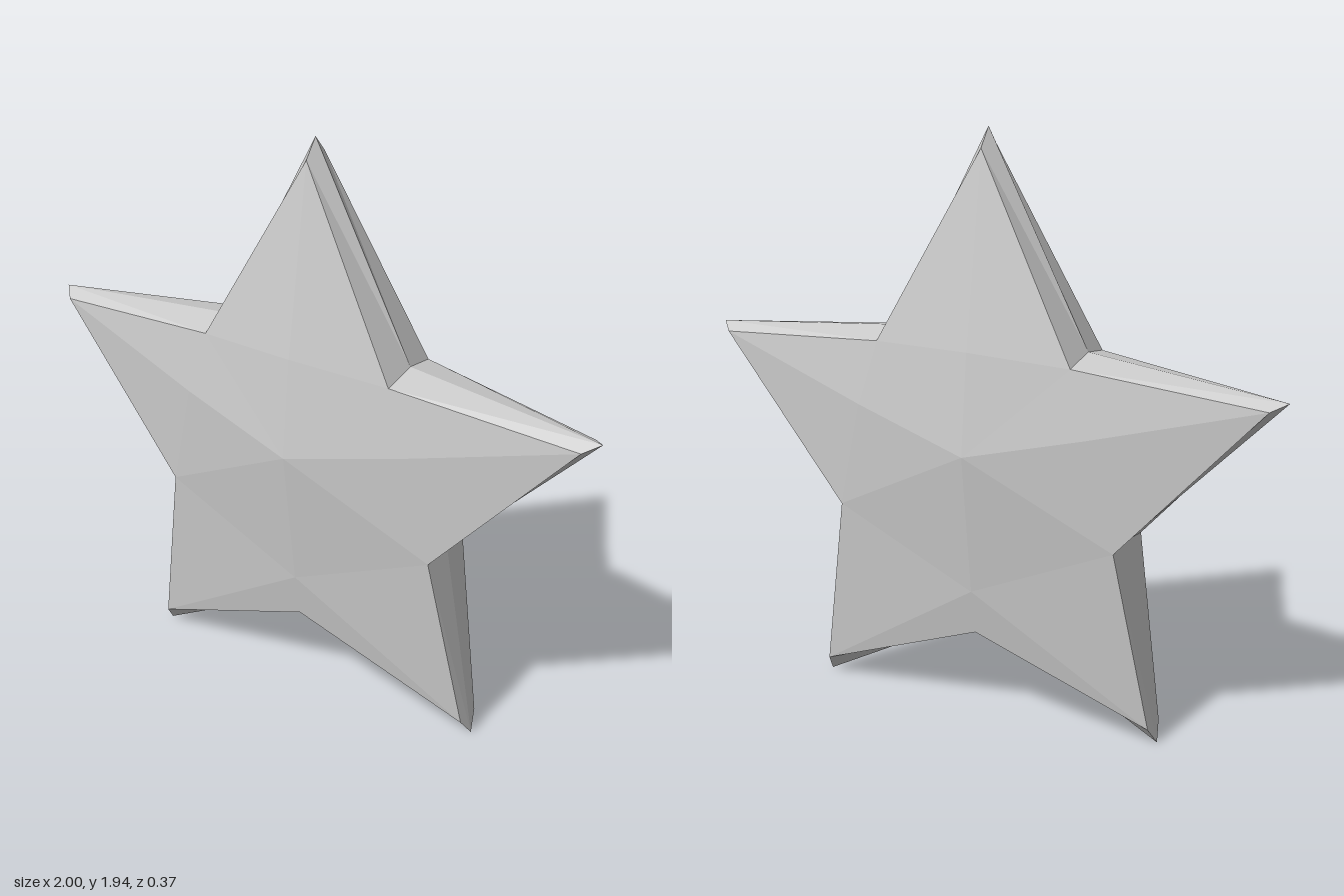
import * as THREE from 'three';

// Half outline, clockwise from the top tip: tip, notch, tip, notch, tip, notch
const rim = [[0, 1.94, 0], [0.345, 1.27, 0], [1, 1.2, 0], [0.495, 0.68, 0], [0.61, 0, 0], [0, 0.33, 0]];
// Matching inner edge of the bevel
const edge = [[0, 1.88, 0.05], [0.34, 1.245, 0.118], [0.955, 1.18, 0.05], [0.49, 0.665, 0.108], [0.595, 0.06, 0.045], [0, 0.297, 0.094]];
// Crown: centre peak and the points where the ridges bend
const peak = [0, 0.927, 0.185];
const bendTop = [0, 1.26, 0.15], bendSide = [0.4, 1.03, 0.137], bendLow = [0, 0.45, 0.122];

// Flat-faced mesh mirrored into all four quarters (left/right, front/back)
function mirroredMesh(name, triangles, material) {
  const positions = [];
  for (const sx of [1, -1]) {
    for (const sz of [1, -1]) {
      for (const tri of triangles) {
        const corners = sx * sz > 0 ? tri : [...tri].reverse();
        for (const [x, y, z] of corners) positions.push(x * sx, y, z * sz);
      }
    }
  }
  const geometry = new THREE.BufferGeometry();
  geometry.setAttribute('position', new THREE.Float32BufferAttribute(positions, 3));
  geometry.computeVertexNormals();
  const mesh = new THREE.Mesh(geometry, material);
  mesh.name = name;
  return mesh;
}

export function createModel() {
  const group = new THREE.Group();
  group.name = 'star';
  const grey = new THREE.MeshStandardMaterial({ color: 0xcccccc });
  grey.name = 'light grey';

  // Raised faces
  const [tipTop, notchTop, tipSide, notchSide, tipLow, notchLow] = edge;
  const crown = [
    [bendTop, notchTop, tipTop],
    [peak, notchTop, bendTop],
    [peak, bendSide, notchTop],
    [bendSide, tipSide, notchTop],
    [bendSide, notchSide, tipSide],
    [peak, notchSide, bendSide],
    [peak, bendLow, notchSide],
    [bendLow, tipLow, notchSide],
    [bendLow, notchLow, tipLow],
  ];
  group.add(mirroredMesh('starFaces', crown, grey));

  // Bevelled border
  const bevel = [];
  for (let i = 0; i < rim.length - 1; i++) {
    bevel.push([edge[i], edge[i + 1], rim[i + 1]], [edge[i], rim[i + 1], rim[i]]);
  }
  group.add(mirroredMesh('bevelledBorder', bevel, grey));

  return group;
}
